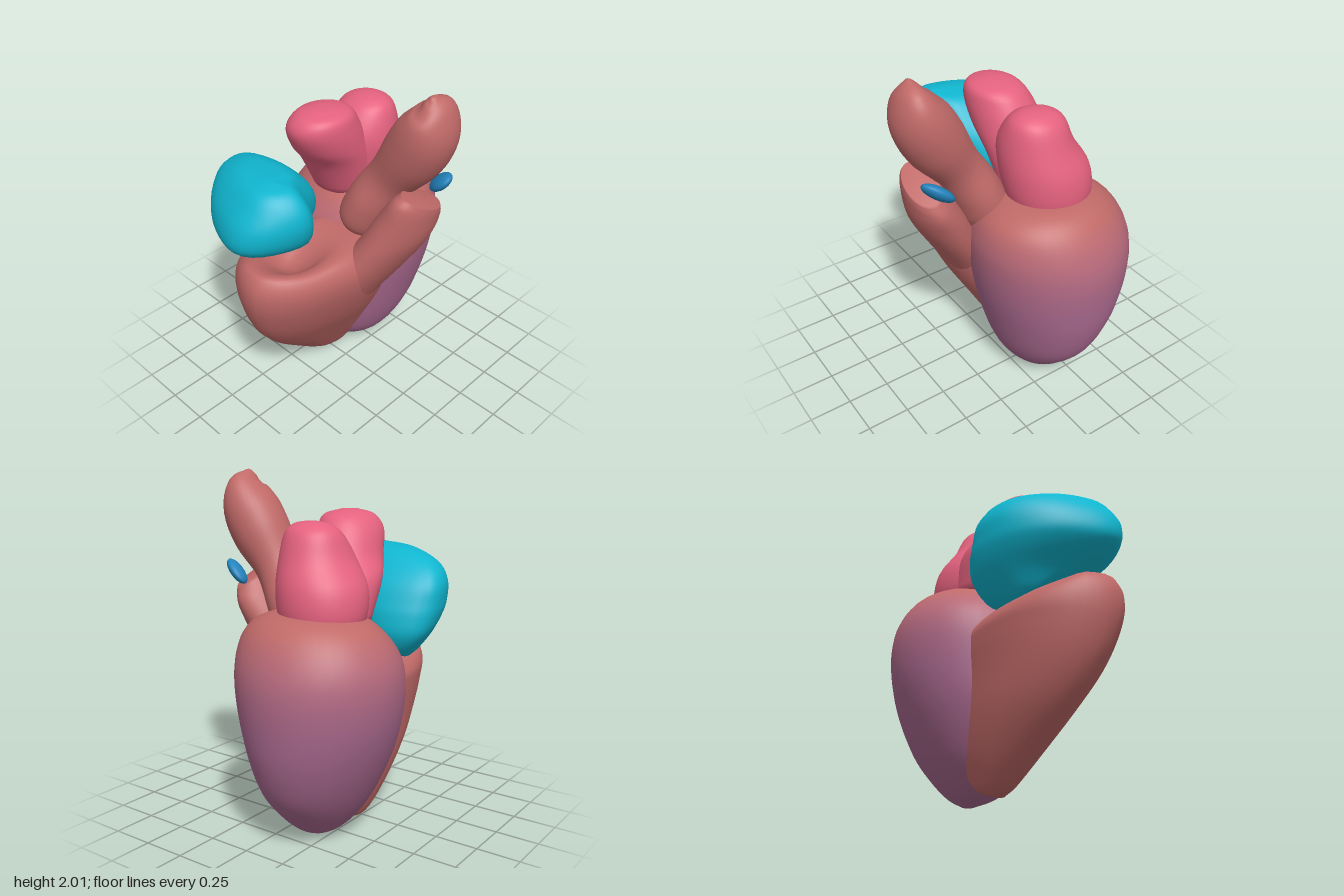
import * as THREE from 'three';

const SIDES = 40, STEPS = 5;
const MUSCLE = 0xc06a68, PURPLE = 0xa9698f, PINK = 0xe5627f, CYAN = 0x10b6d0, BLUE = 0x2384bd;

// Closed outline [x, z], smoothed and scaled into -1..1
function outline(points) {
  const curve = new THREE.CatmullRomCurve3(points.map(([x, z]) => new THREE.Vector3(x, 0, z)), true);
  const pts = curve.getSpacedPoints(SIDES).slice(0, SIDES);
  const box = new THREE.Box3().setFromPoints(pts);
  const c = box.getCenter(new THREE.Vector3()), s = box.getSize(new THREE.Vector3());
  return pts.map(p => [2 * (p.x - c.x) / s.x, 2 * (p.z - c.z) / s.z]);
}
const ROUND = Array.from({ length: SIDES }, (_, i) => {
  const a = i / SIDES * Math.PI * 2;
  return [Math.cos(a), Math.sin(a)];
});

// Smooth closed skin through rows [x, y, z, radiusU, radiusV].
// Sections lie level, or square to the path when sweep is true.
function skin(rows, { shape = ROUND, sweep = false, warp = null } = {}) {
  const path = new THREE.CatmullRomCurve3(rows.map(r => new THREE.Vector3(r[0], r[1], r[2])), false, 'catmullrom');
  const size = new THREE.CatmullRomCurve3(rows.map(r => new THREE.Vector3(r[3], r[4], 0)), false, 'catmullrom');
  const n = (rows.length - 1) * STEPS, pos = [], idx = [];
  const add = p => { if (warp) warp(p); pos.push(p.x, p.y, p.z); };
  const u = new THREE.Vector3(1, 0, 0), v = new THREE.Vector3(0, 0, 1);
  for (let i = 0; i <= n; i++) {
    const c = path.getPoint(i / n), r = size.getPoint(i / n);
    if (sweep) {
      const t = path.getTangent(i / n);
      u.crossVectors(t, new THREE.Vector3(0, 0, 1)).normalize();
      v.crossVectors(u, t).normalize();
    }
    for (const [a, b] of shape) {
      add(c.clone().addScaledVector(u, a * Math.max(r.x, 0.002)).addScaledVector(v, b * Math.max(r.y, 0.002)));
    }
  }
  const bottom = pos.length / 3, top = bottom + 1;
  add(path.getPoint(0));
  add(path.getPoint(1));
  for (let j = 0; j < SIDES; j++) idx.push(bottom, j, (j + 1) % SIDES);
  for (let i = 0; i < n; i++) {
    for (let j = 0; j < SIDES; j++) {
      const a = i * SIDES + j, b = i * SIDES + (j + 1) % SIDES;
      idx.push(a, a + SIDES, b, b, a + SIDES, b + SIDES);
    }
  }
  for (let j = 0; j < SIDES; j++) idx.push(top, n * SIDES + (j + 1) % SIDES, n * SIDES + j);
  const geo = new THREE.BufferGeometry();
  geo.setAttribute('position', new THREE.Float32BufferAttribute(pos, 3));
  geo.setIndex(idx);
  geo.computeVertexNormals();
  return geo;
}

// Level rows given as [y, xMin, xMax, zMin, zMax]
const levels = rows => rows.map(([y, x0, x1, z0, z1]) =>
  [(x0 + x1) / 2, y, (z0 + z1) / 2, (x1 - x0) / 2, (z1 - z0) / 2]);

export function createModel() {
  const group = new THREE.Group();
  const part = (name, geo, color) => {
    const mesh = new THREE.Mesh(geo, new THREE.MeshStandardMaterial({ color }));
    mesh.name = name;
    group.add(mesh);
    return mesh;
  };

  // Rear chamber, blending from purple at the tip to muscle red at the top
  const rear = skin(levels([
    [0.0, -0.21, -0.14, -0.36, -0.28], [0.05, -0.3, -0.03, -0.46, -0.12],
    [0.15, -0.39, 0.06, -0.57, 0.0], [0.3, -0.48, 0.13, -0.69, 0.08],
    [0.5, -0.57, 0.19, -0.765, 0.13], [0.7, -0.63, 0.24, -0.795, 0.14],
    [0.9, -0.65, 0.27, -0.8, 0.14], [1.05, -0.62, 0.27, -0.765, 0.1],
    [1.18, -0.53, 0.22, -0.69, 0.0], [1.255, -0.4, 0.1, -0.59, -0.12],
    [1.28, -0.2, -0.1, -0.42, -0.32],
  ]));
  const rearMesh = part('rearVentricle', rear, PURPLE);
  rearMesh.material = [];
  const triangles = SIDES * 6, purpleRows = 5 * STEPS, blendRows = 3 * STEPS, total = 10 * STEPS;
  const band = (from, to, mix) => {
    const start = from === 0 ? 0 : SIDES * 3 + from * triangles;
    const end = to === total ? rear.index.count : SIDES * 3 + to * triangles;
    rear.addGroup(start, end - start, rearMesh.material.length);
    const color = new THREE.Color(PURPLE).lerp(new THREE.Color(MUSCLE), mix);
    rearMesh.material.push(new THREE.MeshStandardMaterial({ color }));
  };
  band(0, purpleRows, 0);
  for (let i = 0; i < blendRows; i++) band(purpleRows + i, purpleRows + i + 1, (i + 1) / (blendRows + 1));
  band(purpleRows + blendRows, total, 1);

  // Front chamber with a wedge-shaped section and a scooped, sloping top
  part('frontVentricle', skin(levels([
    [0.0, -0.23, -0.14, -0.05, 0.03], [0.05, -0.29, -0.09, -0.15, 0.13],
    [0.2, -0.35, 0.0, -0.25, 0.31], [0.4, -0.39, 0.11, -0.27, 0.515],
    [0.6, -0.41, 0.22, -0.27, 0.66], [0.8, -0.43, 0.3, -0.25, 0.74],
    [0.95, -0.42, 0.32, -0.18, 0.755], [1.05, -0.36, 0.27, -0.05, 0.72],
    [1.08, -0.2, 0.18, 0.1, 0.66], [1.07, -0.05, 0.1, 0.35, 0.5],
  ]), {
    shape: outline([[0.33, 0.05], [0.3, 0.35], [0.2, 0.62], [0.05, 0.75], [-0.15, 0.7],
      [-0.35, 0.5], [-0.43, 0.2], [-0.38, -0.1], [-0.1, -0.25], [0.2, -0.2]]),
    warp: p => {
      const s = THREE.MathUtils.clamp((p.y - 0.8) / 0.25, 0, 1);
      const dent = Math.exp(-((p.x + 0.02) ** 2 + (p.z - 0.42) ** 2) / 0.03);
      p.y -= s * (0.45 * Math.max(0, -p.x - 0.12) + 0.13 * dent);
    },
  }), MUSCLE);

  // Outflow vessel rising from the front chamber, rim tilted and hollowed
  part('outflowVessel', skin([
    [0.0, 0.45, 0.1, 0.1, 0.15], [0.17, 0.8, 0.06, 0.13, 0.22], [0.3, 1.02, 0.0, 0.135, 0.22],
    [0.4, 1.2, -0.05, 0.135, 0.2], [0.455, 1.33, -0.07, 0.11, 0.18], [0.48, 1.4, -0.08, 0.085, 0.14],
  ], {
    sweep: true,
    warp: p => { p.y += 0.3 * (p.z + 0.07) * THREE.MathUtils.clamp((p.y - 1.15) / 0.2, 0, 1); },
  }), MUSCLE);

  // Great vessel leaning up and to the left, ending in a rounded point
  part('greatVessel', skin([
    [0.07, 1.06, -0.08, 0.08, 0.1], [0.11, 1.14, -0.08, 0.15, 0.2], [0.18, 1.29, -0.08, 0.15, 0.2],
    [0.28, 1.46, -0.09, 0.14, 0.155], [0.4, 1.64, -0.1, 0.17, 0.175], [0.48, 1.79, -0.1, 0.158, 0.175],
    [0.515, 1.91, -0.09, 0.1, 0.14], [0.515, 1.98, -0.07, 0.035, 0.05], [0.515, 2.0, -0.06, 0.005, 0.005],
  ], { sweep: true }), MUSCLE);

  // Front atrium, a large angular lobe over the front chamber
  part('frontAtrium', skin(levels([
    [0.93, -0.37, -0.29, 0.25, 0.4], [0.98, -0.43, -0.2, 0.16, 0.5],
    [1.08, -0.51, -0.02, 0.11, 0.61], [1.18, -0.545, 0.12, 0.11, 0.74],
    [1.26, -0.555, 0.19, 0.13, 0.8], [1.37, -0.55, 0.22, 0.18, 0.785],
    [1.47, -0.48, 0.2, 0.27, 0.72], [1.545, -0.3, 0.13, 0.37, 0.65],
    [1.57, -0.08, 0.02, 0.5, 0.56],
  ]), {
    shape: outline([[0.22, 0.45], [0.12, 0.73], [0, 0.8], [-0.25, 0.73], [-0.42, 0.6],
      [-0.53, 0.42], [-0.53, 0.2], [-0.3, 0.1], [-0.05, 0.14], [0.06, 0.28]]),
  }), CYAN);

  // Rear atrium: a low rear lobe and a taller lobe leaning forward
  part('rearAtriumBackLobe', skin(levels([
    [1.12, -0.36, -0.02, -0.48, -0.15], [1.24, -0.43, 0.05, -0.54, -0.08],
    [1.4, -0.42, 0.08, -0.535, -0.04], [1.55, -0.33, 0.08, -0.48, -0.05],
    [1.68, -0.27, 0.05, -0.43, -0.13], [1.73, -0.2, 0.0, -0.37, -0.2],
    [1.745, -0.13, -0.07, -0.31, -0.26],
  ])), PINK);
  part('rearAtriumFrontLobe', skin(levels([
    [1.2, -0.38, 0.0, -0.35, 0.0], [1.42, -0.39, 0.04, -0.28, 0.11],
    [1.55, -0.33, 0.06, -0.22, 0.22], [1.68, -0.29, 0.065, -0.15, 0.28],
    [1.76, -0.23, 0.045, -0.08, 0.24], [1.79, -0.14, -0.04, 0.04, 0.14],
  ])), PINK);

  // Small leaf-shaped vessel flap behind the outflow rim
  const flap = part('vesselFlap', new THREE.SphereGeometry(1, 24, 16), BLUE);
  flap.scale.set(0.1, 0.035, 0.065);
  flap.position.set(0.475, 1.425, -0.245);
  flap.rotation.set(0.5, 0, 0.7);

  return group;
}
